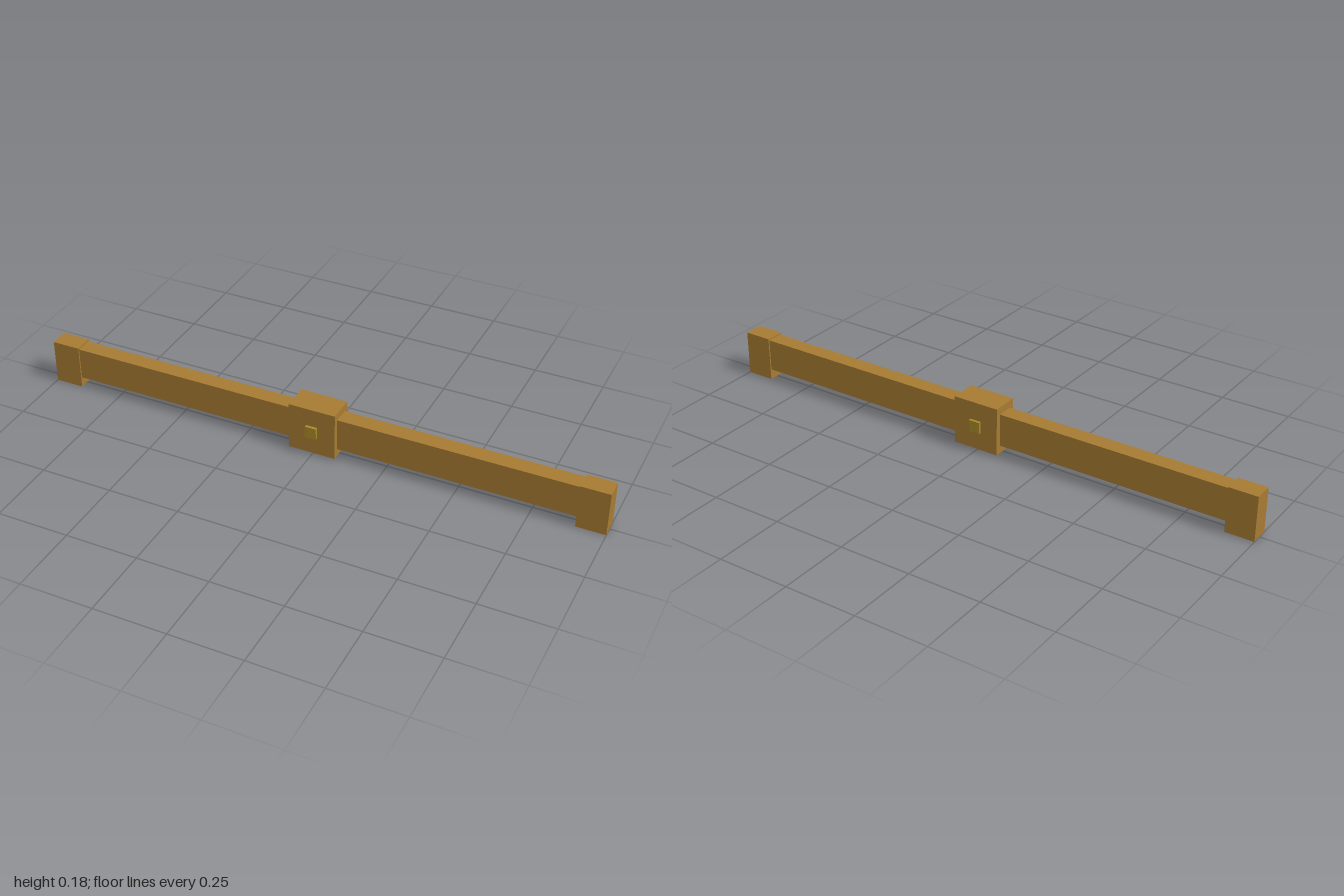
import * as THREE from 'three';

export function createModel() {
  const wood = new THREE.MeshStandardMaterial({ name: 'brown wood', color: 0xa67b32 });
  const peg = new THREE.MeshStandardMaterial({ name: 'ochre peg', color: 0xa88a28 });
  const model = new THREE.Group();
  model.name = 'beam';

  // Box given by its extents along each axis
  function box(name, material, [x0, x1], [y0, y1], [z0, z1]) {
    const mesh = new THREE.Mesh(new THREE.BoxGeometry(x1 - x0, y1 - y0, z1 - z0), material);
    mesh.position.set((x0 + x1) / 2, (y0 + y1) / 2, (z0 + z1) / 2);
    mesh.name = name;
    model.add(mesh);
  }

  // Long bar and the thicker block at its middle
  box('bar', wood, [-0.95, 0.95], [0.036, 0.151], [-0.029, 0.029]);
  box('centreBlock', wood, [-0.083, 0.083], [0.008, 0.177], [-0.0475, 0.0475]);

  // Feet at both ends
  box('rightFoot', wood, [-1, -0.9], [0, 0.157], [-0.0335, 0.0335]);
  box('leftFoot', wood, [0.9, 1], [0, 0.157], [-0.0335, 0.0335]);

  // Square pegs on the front and back of the block
  box('frontPeg', peg, [-0.02, 0.02], [0.072, 0.113], [0.04, 0.058]);
  box('backPeg', peg, [-0.02, 0.02], [0.072, 0.113], [-0.058, -0.04]);

  return model;
}
